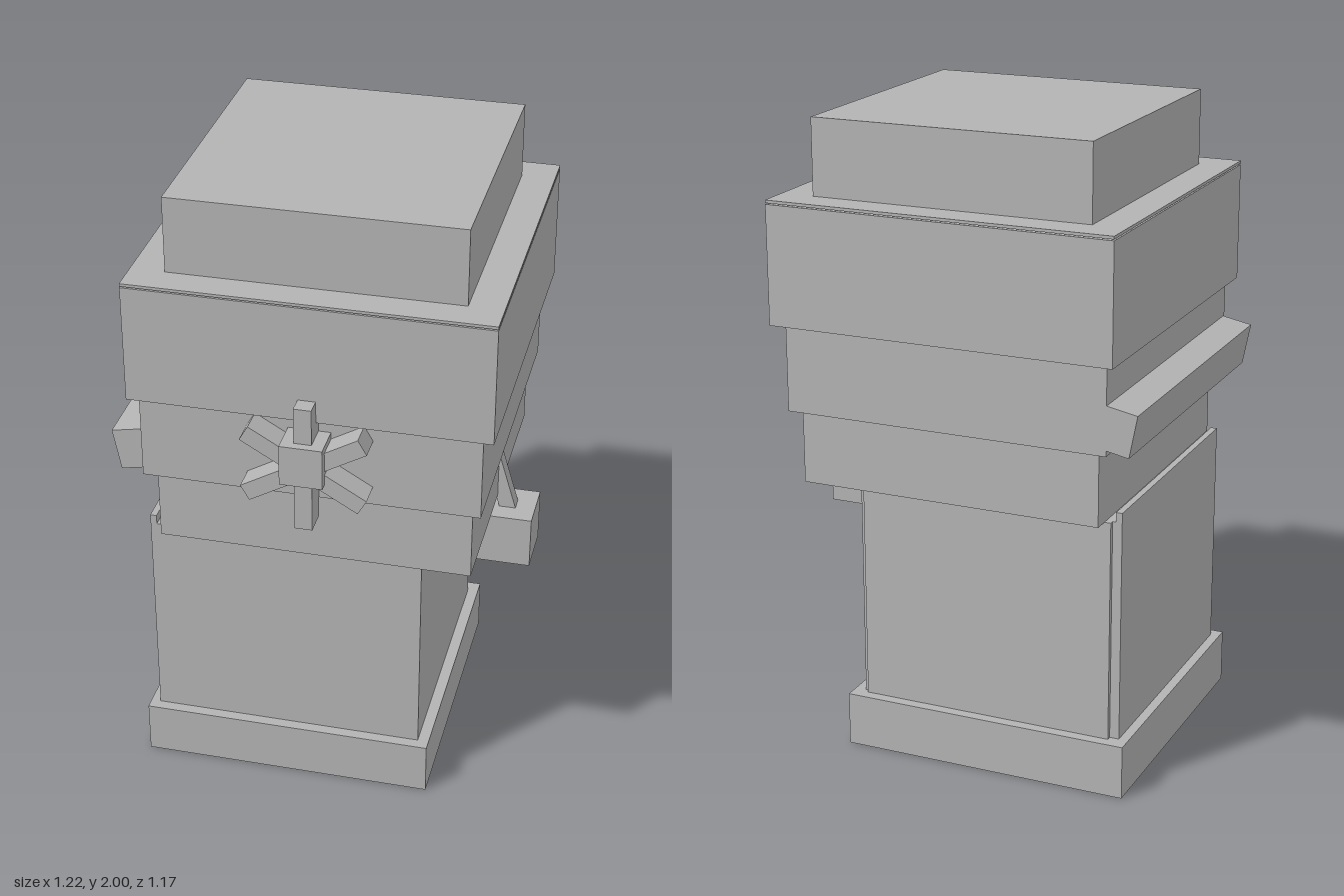
import * as THREE from 'three';

export function createModel() {
  const model = new THREE.Group();
  const grey = new THREE.MeshStandardMaterial({ color: 0xb3b3b3 });
  grey.name = 'stoneGrey';

  // Box given by its extents on each axis
  function block(name, [x0, x1], [y0, y1], [z0, z1], parent = model) {
    const mesh = new THREE.Mesh(new THREE.BoxGeometry(x1 - x0, y1 - y0, z1 - z0), grey);
    mesh.name = name;
    mesh.position.set((x0 + x1) / 2, (y0 + y1) / 2, (z0 + z1) / 2);
    parent.add(mesh);
    return mesh;
  }

  // Box given by centre and size, turned about z
  function bar(name, centre, size, angle, parent = model) {
    const mesh = new THREE.Mesh(new THREE.BoxGeometry(...size), grey);
    mesh.name = name;
    mesh.position.set(...centre);
    mesh.rotation.z = angle;
    parent.add(mesh);
    return mesh;
  }

  // Base and lower body: a core clad in thin panels with open rear corners
  block('base', [-0.56, 0.365], [0, 0.17], [-0.505, 0.425]);
  const body = new THREE.Group();
  body.name = 'lowerBody';
  model.add(body);
  block('bodyCore', [-0.51, 0.315], [0.17, 0.87], [-0.455, 0.375], body);
  block('frontPanel', [-0.515, 0.33], [0.17, 0.87], [0.375, 0.39], body);
  block('backPanel', [-0.5, 0.315], [0.17, 0.87], [-0.47, -0.455], body);
  block('leftPanel', [0.315, 0.33], [0.17, 0.87], [-0.455, 0.375], body);
  block('rightPanel', [-0.53, -0.51], [0.17, 0.9], [-0.455, 0.39], body);

  // Widening upper tiers
  block('lowerTier', [-0.48, 0.49], [0.87, 1.105], [-0.52, 0.44]);
  block('middleTier', [-0.515, 0.52], [1.105, 1.38], [-0.555, 0.475]);
  block('upperTier', [-0.545, 0.555], [1.38, 1.75], [-0.59, 0.505]);
  block('tierLid', [-0.545, 0.555], [1.754, 1.763], [-0.59, 0.505]);
  block('topCap', [-0.44, 0.45], [1.763, 2], [-0.49, 0.405]);

  // Six-armed wheel on the front
  const wheel = new THREE.Group();
  wheel.name = 'frontWheel';
  model.add(wheel);
  bar('wheelHub', [0.005, 1.27, 0.53], [0.13, 0.13, 0.11], 0, wheel);
  for (const angle of [30, 90, 150]) {
    bar('wheelSpokes', [0.005, 1.245, 0.517], [0.41, 0.054, 0.082], THREE.MathUtils.degToRad(angle), wheel);
  }

  // Tilted rail along the right side
  bar('sideRail', [-0.529, 1.188, -0.045], [0.14, 0.133, 1.02], 0.19);

  // Hanging block on a slanted arm at the left side
  bar('hangerArm', [0.496, 0.918, -0.042], [0.05, 0.235, 0.048], 0.29);
  block('hangerBlock', [0.435, 0.61], [0.66, 0.83], [-0.13, 0.045]);

  return model;
}
